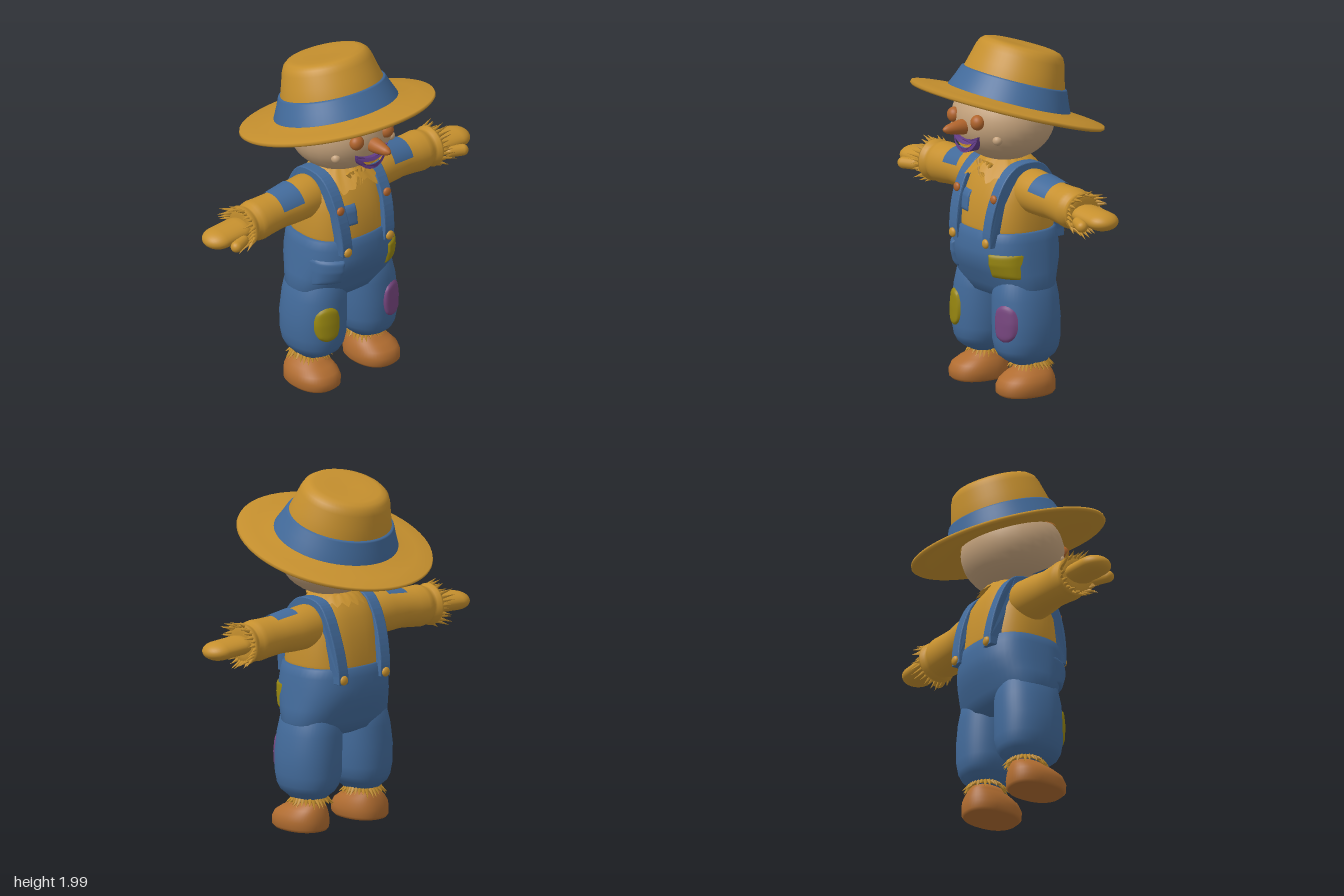
import * as THREE from 'three';
import { mergeGeometries } from 'three/addons/utils/BufferGeometryUtils.js';

const V2 = (x, y) => new THREE.Vector2(x, y);
const colour = (name, color) => Object.assign(new THREE.MeshStandardMaterial({ color }), { name });
const straw = colour('straw yellow', 0xc6902e);
const denim = colour('denim blue', 0x426a9a);
const skin = colour('sackcloth', 0xc4a27c);
const leather = colour('shoe brown', 0xb06c30);
const carrot = colour('carrot brown', 0xb0642c);
const hairMat = colour('hair orange', 0xb9722e);
const lipMat = colour('lip purple', 0x623c86);
const plum = colour('patch purple', 0x77467f);
const olive = colour('patch olive', 0x978610);

// Sections from bottom to top: [y, rx, rz, cx, cz]; p squares off the ovals
const SHIRT = [[0.85, 0.26, 0.22, 0, 0.01], [0.95, 0.27, 0.232, 0, 0.01], [1.1, 0.262, 0.212, 0, 0.01],
  [1.2, 0.235, 0.178, 0, 0], [1.26, 0.2, 0.145, 0, 0], [1.3, 0.15, 0.115, 0, 0], [1.34, 0.1, 0.1, 0, 0.01]];
const PANTS = [[0.53, 0.18, 0.1, 0, 0], [0.56, 0.3, 0.165, 0, 0.005], [0.62, 0.332, 0.195, 0, 0.005],
  [0.7, 0.322, 0.23, 0, 0.01], [0.76, 0.314, 0.252, 0, 0.012], [0.82, 0.306, 0.257, 0, 0.012],
  [0.88, 0.297, 0.25, 0, 0.01], [0.93, 0.287, 0.242, 0, 0.01], [0.937, 0.27, 0.225, 0, 0.01]];
const leg = s => [[0.175, 0.085, 0.1, 0.195, 0], [0.2, 0.105, 0.135, 0.195, 0.01], [0.225, 0.135, 0.165, 0.193, 0.01],
  [0.26, 0.155, 0.183, 0.19, 0.01], [0.32, 0.169, 0.193, 0.188, 0.01], [0.43, 0.172, 0.194, 0.188, 0.01],
  [0.55, 0.165, 0.19, 0.178, 0.01], [0.66, 0.145, 0.175, 0.17, 0.01], [0.72, 0.1, 0.12, 0.17, 0.01]]
  .map(([y, rx, rz, cx, cz]) => [y, rx, rz, s * cx, cz]);
const shoe = s => [[0.004, 0.12, 0.158, 0.22, 0.035], [0.02, 0.133, 0.172, 0.22, 0.038], [0.06, 0.135, 0.173, 0.22, 0.038],
  [0.095, 0.127, 0.162, 0.22, 0.03], [0.125, 0.108, 0.135, 0.215, 0.012], [0.145, 0.088, 0.11, 0.21, -0.005],
  [0.17, 0.07, 0.09, 0.2, -0.01]].map(([y, rx, rz, cx, cz]) => [y, rx, rz, s * cx, cz]);

// Closed skin through the oval sections
function loft(sections, p = 2.4, n = 48) {
  const pos = [], idx = [], last = (sections.length - 1) * n;
  const pw = v => Math.sign(v) * Math.abs(v) ** (2 / p);
  sections.forEach(([y, rx, rz, cx, cz]) => {
    for (let j = 0; j < n; j++) {
      const a = j / n * Math.PI * 2;
      pos.push(cx + rx * pw(Math.cos(a)), y, cz + rz * pw(Math.sin(a)));
    }
  });
  for (let i = 0; i < last; i += n) for (let j = 0; j < n; j++) {
    const k = (j + 1) % n;
    idx.push(i + j, i + n + j, i + k, i + n + j, i + n + k, i + k);
  }
  const lo = sections[0], hi = sections[sections.length - 1], c = pos.length / 3;
  pos.push(lo[3], lo[0], lo[4], hi[3], hi[0], hi[4]);
  for (let j = 0; j < n; j++) {
    const k = (j + 1) % n;
    idx.push(c, j, k, c + 1, last + k, last + j);
  }
  const g = new THREE.BufferGeometry();
  g.setAttribute('position', new THREE.Float32BufferAttribute(pos, 3));
  g.setIndex(idx);
  g.computeVertexNormals();
  return g;
}

// Front surface depth of a loft at (x, y)
function frontZ(sections, p, x, y) {
  let i = 0;
  while (i < sections.length - 2 && sections[i + 1][0] < y) i++;
  const a = sections[i], b = sections[i + 1], t = (y - a[0]) / (b[0] - a[0]);
  const [, rx, rz, cx, cz] = a.map((v, k) => v + (b[k] - v) * t);
  const u = Math.min(1, Math.abs((x - cx) / rx));
  return cz + rz * (1 - u ** p) ** (1 / p);
}
const headZ = (x, y) => 0.03 + 0.28 * Math.sqrt(Math.max(0, 1 - (x / 0.305) ** 2 - ((y - 1.545) / 0.24) ** 2));

// Move every vertex by a rule
function bend(g, rule) {
  const q = g.attributes.position, v = new THREE.Vector3();
  for (let i = 0; i < q.count; i++) {
    rule(v.fromBufferAttribute(q, i));
    q.setXYZ(i, v.x, v.y, v.z);
  }
  g.computeVertexNormals();
  return g;
}

// Cloth patch laid on the front of a loft
function patch(sections, p, cx, cy, hw, hh, oval, lift = 0.01) {
  return bend(new THREE.PlaneGeometry(2, 2, 16, 16), v => {
    const edge = Math.max(Math.abs(v.x), Math.abs(v.y)), { x, y } = v;
    if (oval) { v.x = x * Math.sqrt(1 - y * y / 2); v.y = y * Math.sqrt(1 - x * x / 2); }
    v.x = cx + v.x * hw;
    v.y = cy + v.y * hh;
    v.z = frontZ(sections, p, v.x, v.y) + lift - 0.02 * edge ** 10;
  });
}

// Ring of straw spikes pointing along +y
function fringe(radius, length, tilt, n) {
  const spikes = [];
  for (let i = 0; i < n; i++) {
    const l = length * (0.85 + 0.2 * Math.sin(i * 5.3)), g = new THREE.ConeGeometry(0.014, l, 5);
    g.translate(0, l / 2, 0).rotateZ(-tilt - 0.2 * Math.sin(i * 3.7)).translate(radius, 0, 0).rotateY(i / n * Math.PI * 2);
    spikes.push(g);
  }
  return mergeGeometries(spikes);
}

export function createModel() {
  const model = new THREE.Group(), body = new THREE.Group();
  body.name = 'scarecrow';
  model.add(body);
  const add = (name, geometry, material, x = 0, y = 0, z = 0, parent = body) => {
    const m = new THREE.Mesh(geometry, material);
    m.name = name;
    m.position.set(x, y, z);
    parent.add(m);
    return m;
  };
  const ball = (name, r, mat, x, y, z, sx = 1, sy = 1, sz = 1) =>
    add(name, new THREE.SphereGeometry(r, 28, 20), mat, x, y, z).scale.set(sx, sy, sz);

  // Torso and trousers
  add('shirt', loft(SHIRT, 2.5), straw);
  add('trousers', loft(PANTS, 2.5), denim);
  add('chestPatch', patch(SHIRT, 2.5, -0.095, 1.075, 0.045, 0.065, false), denim);
  add('pocket', patch(PANTS, 2.5, -0.23, 0.75, 0.068, 0.078, false, 0.018), denim);
  add('hipPatch', patch(PANTS, 2.5, 0.228, 0.75, 0.072, 0.072, false, 0.014), olive);

  // Strap outline, from front waist over the shoulder to the back
  const over = new THREE.CatmullRomCurve3([[0.257, 0.86], [0.258, 0.93], [0.232, 1.08], [0.17, 1.22], [0.09, 1.295], [0, 1.312],
    [-0.09, 1.295], [-0.15, 1.23], [-0.212, 1.08], [-0.243, 0.93], [-0.245, 0.86]].map(([z, y]) => new THREE.Vector3(z, y, 0)));
  const outer = over.getPoints(48).map(v => V2(v.x, v.y));
  const inner = outer.map(v => V2(v.x * 0.74, 0.86 + (v.y - 0.86) * 0.87)).reverse();
  const strapShape = new THREE.Shape([...outer, ...inner]);

  for (const s of [1, -1]) {
    const side = s > 0 ? 'left' : 'right';
    const strap = new THREE.ExtrudeGeometry(strapShape, { depth: 0.06, bevelSize: 0.005, bevelThickness: 0.006, bevelSegments: 2 });
    strap.rotateY(-Math.PI / 2).translate(0.03, 0, 0);
    bend(strap, v => { v.x += s * (0.155 + 0.015 * Math.min(1, Math.max(0, (v.y - 0.9) * 4))); });
    add(side + 'Strap', strap, denim);
    ball(side + 'FrontButton', 0.027, straw, s * 0.155, 0.88, 0.265, 1, 1, 0.6);
    ball(side + 'BackButton', 0.027, straw, s * 0.155, 0.88, -0.25, 1, 1, 0.6);
    ball(side + 'ChestButton', 0.026, carrot, s * 0.172, 1.13, 0.222, 1, 1, 0.6);

    // Leg, knee patch, straw and shoe
    add(side + 'Leg', loft(leg(s), 2.2), denim);
    add(side + 'KneePatch', patch(leg(s), 2.2, s * 0.237, 0.425, 0.077, 0.11, true, 0.014), s > 0 ? plum : olive);
    add(side + 'Shoe', loft(shoe(s), 2.3), leather);
    const ankle = add(side + 'AnkleStraw', fringe(0.09, 0.062, 0.75, 30), straw, s * 0.198, 0.182, -0.015);
    ankle.rotation.x = Math.PI;

    // Arm built along +y, then laid outwards
    const arm = new THREE.Group();
    arm.name = side + 'Arm';
    arm.position.set(0, 1.17, -0.01);
    arm.rotation.z = -s * (Math.PI / 2 + 0.05);
    body.add(arm);
    const sleeve = [[0, 0.08], [0.1, 0.12], [0.124, 0.22], [0.118, 0.35], [0.108, 0.45], [0.112, 0.54], [0.117, 0.6], [0.113, 0.63],
      [0.1, 0.65], [0.104, 0.665], [0.118, 0.685], [0.115, 0.7], [0.07, 0.705], [0, 0.705]];
    add('sleeve', new THREE.LatheGeometry(sleeve.map(p => V2(...p)), 36), straw, 0, 0, 0, arm);
    add('sleevePatch', new THREE.CylinderGeometry(0.115, 0.126, 0.145, 20, 1, true, s > 0 ? -2.1 : 0.35, 1.75),
      denim, 0, 0.405, 0, arm).material.side = THREE.DoubleSide;
    add('wristStraw', fringe(0.1, 0.1, 0.35, 30), straw, 0, 0.685, 0, arm);
    add('hand', new THREE.CapsuleGeometry(0.092, 0.13, 10, 28), straw, 0, 0.808, 0, arm).scale.x = 0.58;
    const thumb = add('thumb', new THREE.CapsuleGeometry(0.033, 0.075, 8, 16), straw, s * 0.025, 0.805, 0.1, arm);
    thumb.rotation.x = 0.35;

    // Eye and cheek
    ball(side + 'Eye', 0.043, carrot, s * 0.11, 1.57, 0.287, 1, 1, 0.9);
    ball(side + 'Cheek', 0.028, skin, s * 0.2, 1.475, headZ(0.2, 1.475) - 0.01);
  }

  // Collar with two front points and a ragged edge
  const collar = new THREE.LatheGeometry([V2(0.175, 1.28), V2(0.14, 1.315), V2(0.09, 1.34)], 72);
  bend(collar, v => {
    const a = Math.atan2(v.x, v.z), r = Math.hypot(v.x, v.z), t = (r - 0.09) / 0.085;
    const point = Math.exp(-(((Math.abs(a) - 0.5) / 0.32) ** 2));
    const k = 1 + t * (0.3 * point + 0.07 * Math.sin(a * 18)) ;
    v.x *= k;
    v.z = v.z * k + 0.01;
    v.y -= t * (0.065 * point + 0.012 * Math.sin(a * 18));
  });
  const ragged = add('collar', collar, straw);
  ragged.material.side = THREE.DoubleSide;
  for (let i = -2; i <= 2; i++) {
    const tuft = add('collarStraw', new THREE.ConeGeometry(0.013, 0.1, 5), straw, i * 0.02, 1.26, 0.17);
    tuft.rotation.set(Math.PI - 0.35, 0, i * 0.22);
  }

  // Head, hair and nose
  ball('head', 1, skin, 0, 1.545, 0.03, 0.305, 0.24, 0.28);
  const hair = new THREE.SphereGeometry(1, 40, 16, 0, Math.PI * 2, 0, 1.22).rotateX(-0.2);
  add('hair', hair, hairMat, 0, 1.547, 0.028).scale.set(0.311, 0.245, 0.286);
  const nose = new THREE.LatheGeometry([[0.044, 0], [0.043, 0.06], [0.034, 0.11], [0.025, 0.15], [0.012, 0.172], [0, 0.176]]
    .map(p => V2(...p)), 24).rotateX(Math.PI / 2);
  add('nose', nose, carrot, 0, 1.527, 0.265);

  // Smiling mouth, curved round the face
  const smile = (P, w, y, top, low) => {
    const m = new P();
    m.moveTo(-w, y);
    m.quadraticCurveTo(0, top, w, y);
    m.bezierCurveTo(w * 0.8, low, -w * 0.8, low, -w, y);
    return m;
  };
  const lips = smile(THREE.Shape, 0.115, 1.487, 1.425, 1.347);
  lips.holes.push(smile(THREE.Path, 0.075, 1.443, 1.418, 1.398));
  const curved = (shape, depth) => bend(new THREE.ExtrudeGeometry(shape, { depth, bevelEnabled: false, curveSegments: 20 }),
    v => { v.z += headZ(v.x, 1.43) - 0.06; });
  add('lips', curved(lips, 0.097), lipMat);
  add('teeth', curved(smile(THREE.Shape, 0.076, 1.444, 1.42, 1.397), 0.085), straw);

  // Tilted hat
  const hat = new THREE.Group();
  hat.name = 'hat';
  hat.position.set(0, 1.605, 0);
  hat.rotation.x = -0.302;
  body.add(hat);
  const turned = (name, pts, mat, wide) => {
    add(name, new THREE.LatheGeometry(pts.map(p => V2(...p)), 64), mat, 0, 0, 0, hat).scale.x = wide;
  };
  turned('brim', [[0.27, 0.02], [0.36, 0.012], [0.46, -0.006], [0.545, -0.016], [0.556, -0.006], [0.552, 0.008], [0.46, 0.018],
    [0.38, 0.03], [0.3, 0.045]], straw, 1);
  turned('crown', [[0.3, 0.02], [0.285, 0.15], [0.266, 0.22], [0.248, 0.29], [0.234, 0.322], [0.212, 0.341], [0.18, 0.349],
    [0.1, 0.346], [0, 0.343]], straw, 1.05);
  turned('hatBand', [[0.346, 0.022], [0.344, 0.04], [0.318, 0.1], [0.299, 0.15], [0.294, 0.157], [0.28, 0.158]], denim, 1.04);

  // Turn the figure to look along +x
  body.rotation.y = Math.PI / 2;
  return model;
}
